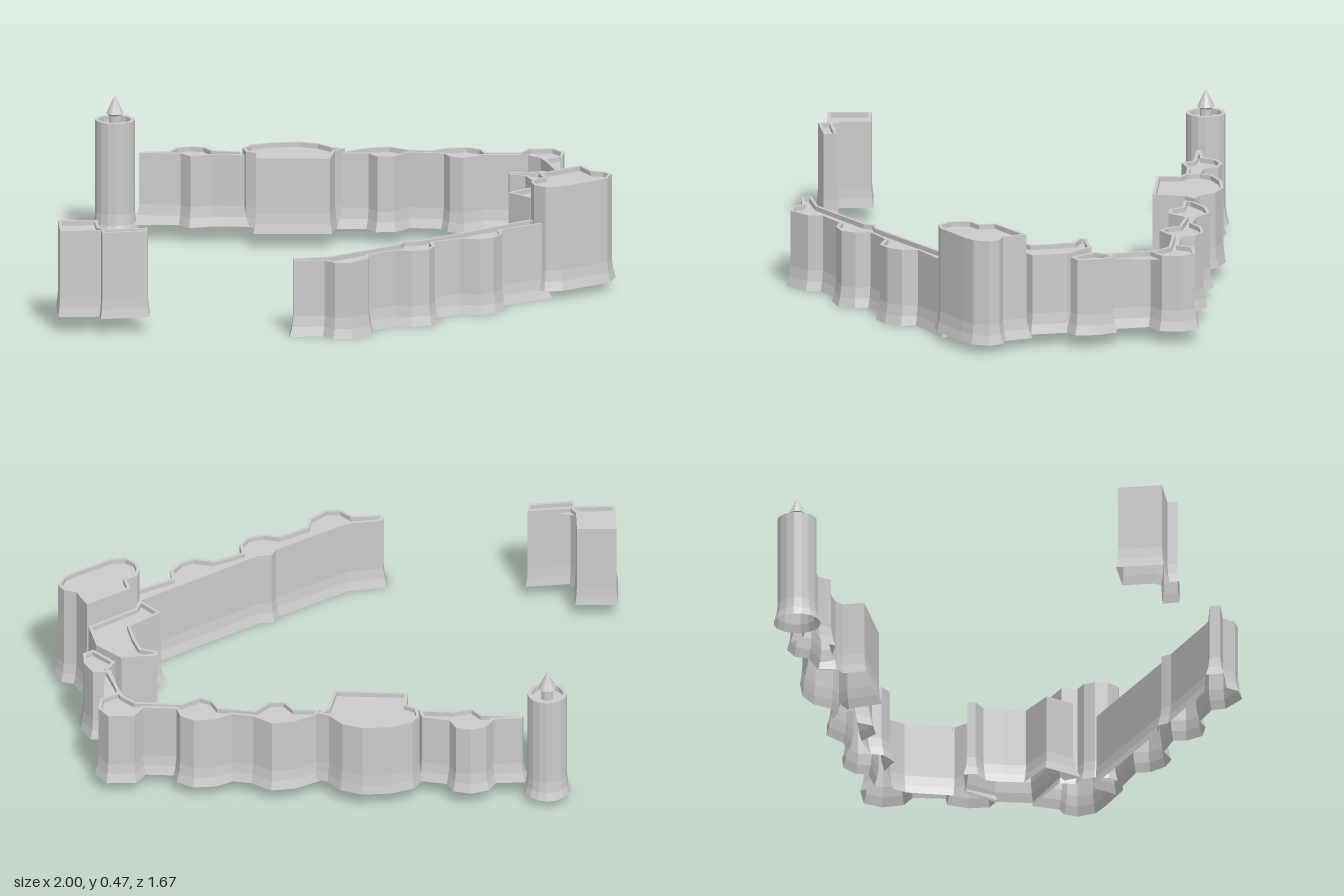
import * as THREE from 'three';

const stone = new THREE.MeshStandardMaterial({ color: 0xcccccc, flatShading: true, side: THREE.DoubleSide });
stone.name = 'pale stone';

// Move every side of a closed outline inwards by d, with limited mitres
function inset(pts, d) {
  const n = pts.length;
  return pts.map((p, i) => {
    const a = p.clone().sub(pts[(i + n - 1) % n]).normalize();
    const b = pts[(i + 1) % n].clone().sub(p).normalize();
    const na = new THREE.Vector2(-a.y, a.x), nb = new THREE.Vector2(-b.y, b.x);
    const k = d / Math.max(0.45, 1 + na.dot(nb));
    return p.clone().add(na.add(nb).multiplyScalar(k));
  });
}

// Hollow wall block from a plan of [x, z] corners: flared foot, upright sides, low parapet, sunken roof
function block(name, plan, base, top, flare = 0.012) {
  const pts = plan.map(([x, z]) => new THREE.Vector2(x, z));
  if (THREE.ShapeUtils.area(pts) < 0) pts.reverse();
  const levels = [
    [base, 0], [base + 0.03, flare * 0.65], [base + 0.065, flare],
    [top, flare], [top, flare + 0.01], [top - 0.015, flare + 0.01],
  ];
  const rings = levels.map(([y, d]) => inset(pts, d).map(p => new THREE.Vector3(p.x, y, p.y)));
  const pos = [];
  const tri = (...vs) => vs.forEach(v => pos.push(v.x, v.y, v.z));
  for (let r = 0; r < rings.length - 1; r++) {
    const lo = rings[r], hi = rings[r + 1];
    for (let i = 0; i < lo.length; i++) {
      const j = (i + 1) % lo.length;
      tri(lo[i], hi[i], lo[j]);
      tri(lo[j], hi[i], hi[j]);
    }
  }
  const roof = rings[rings.length - 1];
  const flat = roof.map(v => new THREE.Vector2(v.x, v.z));
  for (const [a, b, c] of THREE.ShapeUtils.triangulateShape(flat, [])) tri(roof[a], roof[c], roof[b]);
  const geo = new THREE.BufferGeometry();
  geo.setAttribute('position', new THREE.Float32BufferAttribute(pos, 3));
  geo.computeVertexNormals();
  const mesh = new THREE.Mesh(geo, stone);
  mesh.name = name;
  return mesh;
}

function lathe(name, profile, sides) {
  const mesh = new THREE.Mesh(
    new THREE.LatheGeometry(profile.map(([r, y]) => new THREE.Vector2(r, y)), sides), stone);
  mesh.name = name;
  return mesh;
}

export function createModel() {
  const castle = new THREE.Group();
  castle.name = 'castleWalls';

  // Front curtain wall with three bastions
  castle.add(block('frontWall', [
    [-0.495, 0.47], [-0.39, 0.54], [-0.13, 0.585], [-0.095, 0.57], [-0.055, 0.6], [0.4, 0.67], [0.4, 0.765],
    [0.355, 0.75], [0.23, 0.72], [0.2, 0.755], [0.14, 0.77], [0.085, 0.755], [0.05, 0.7], [-0.035, 0.675],
    [-0.06, 0.71], [-0.115, 0.73], [-0.175, 0.7], [-0.2, 0.66], [-0.29, 0.64], [-0.325, 0.67],
    [-0.415, 0.67], [-0.455, 0.625], [-0.455, 0.58], [-0.535, 0.51],
  ], 0, 0.245));

  // Tall keep at the front corner
  castle.add(block('keep', [
    [0.385, 0.67], [0.42, 0.645], [0.46, 0.65], [0.485, 0.605], [0.675, 0.635], [0.645, 0.72], [0.665, 0.755],
    [0.655, 0.8], [0.6, 0.83], [0.545, 0.825], [0.41, 0.8], [0.365, 0.765], [0.36, 0.71],
  ], 0.028, 0.366));

  // Gatehouse behind the keep
  castle.add(block('gatehouse', [
    [0.435, 0.515], [0.43, 0.65], [0.49, 0.615], [0.675, 0.64], [0.74, 0.535], [0.735, 0.415], [0.69, 0.385],
    [0.63, 0.335], [0.6, 0.37], [0.625, 0.42], [0.6, 0.47], [0.565, 0.525],
  ], 0.04, 0.296));

  // East wall with the corner tower and bastions
  castle.add(block('eastWall', [
    [0.5, -0.25], [0.585, -0.23], [0.65, -0.185], [0.665, -0.11], [0.7, -0.06], [0.76, -0.045],
    [0.815, 0], [0.83, 0.06], [0.81, 0.095], [0.87, 0.16], [0.925, 0.145], [0.995, 0.21], [0.985, 0.275],
    [0.93, 0.32], [0.87, 0.31], [0.815, 0.4], [0.85, 0.43], [0.83, 0.5], [0.785, 0.55], [0.73, 0.54],
    [0.73, 0.42], [0.78, 0.405], [0.85, 0.27], [0.85, 0.22], [0.76, 0.12], [0.685, 0.105], [0.665, 0.05],
    [0.68, 0.01], [0.62, -0.07], [0.55, -0.065], [0.505, -0.11], [0.515, -0.16], [0.45, -0.23],
  ], 0.042, 0.286));

  // Hall with a rounded outer side, set across the wall
  castle.add(block('hall', [
    [0.2, -0.355], [0.255, -0.405], [0.245, -0.44], [0.275, -0.485], [0.325, -0.5], [0.4, -0.47], [0.47, -0.41],
    [0.5, -0.345], [0.495, -0.28], [0.515, -0.235], [0.46, -0.235], [0.37, -0.172],
  ], 0.05, 0.294, 0.008));

  // Northern wall from the hall to the round tower
  castle.add(block('northWall', [
    [0.05, -0.72], [0.12, -0.66], [0.165, -0.675], [0.22, -0.65], [0.25, -0.6], [0.235, -0.555], [0.285, -0.48],
    [0.25, -0.42], [0.17, -0.51], [0.105, -0.545], [0.11, -0.595], [0.015, -0.7],
  ], 0.052, 0.284));

  // Detached house and its stub of wall
  castle.add(block('westHouse', [
    [-0.895, -0.17], [-0.797, -0.075], [-0.865, 0], [-0.87, 0.025], [-0.758, 0.11], [-0.8, 0.147],
    [-0.925, 0.055], [-0.905, 0.03], [-1, -0.06],
  ], 0.05, 0.33, 0.006));

  // Round tower with its turret and pointed cap
  const tower = new THREE.Group();
  tower.name = 'roundTower';
  tower.position.set(0, 0, -0.77);
  tower.add(lathe('towerShaft', [
    [0.075, 0.028], [0.067, 0.055], [0.063, 0.09], [0.063, 0.388], [0.05, 0.388], [0.05, 0.37], [0, 0.37],
  ], 16));
  tower.add(lathe('towerCap', [[0.019, 0.37], [0.019, 0.402], [0.028, 0.408], [0, 0.467]], 10));
  castle.add(tower);

  return castle;
}
